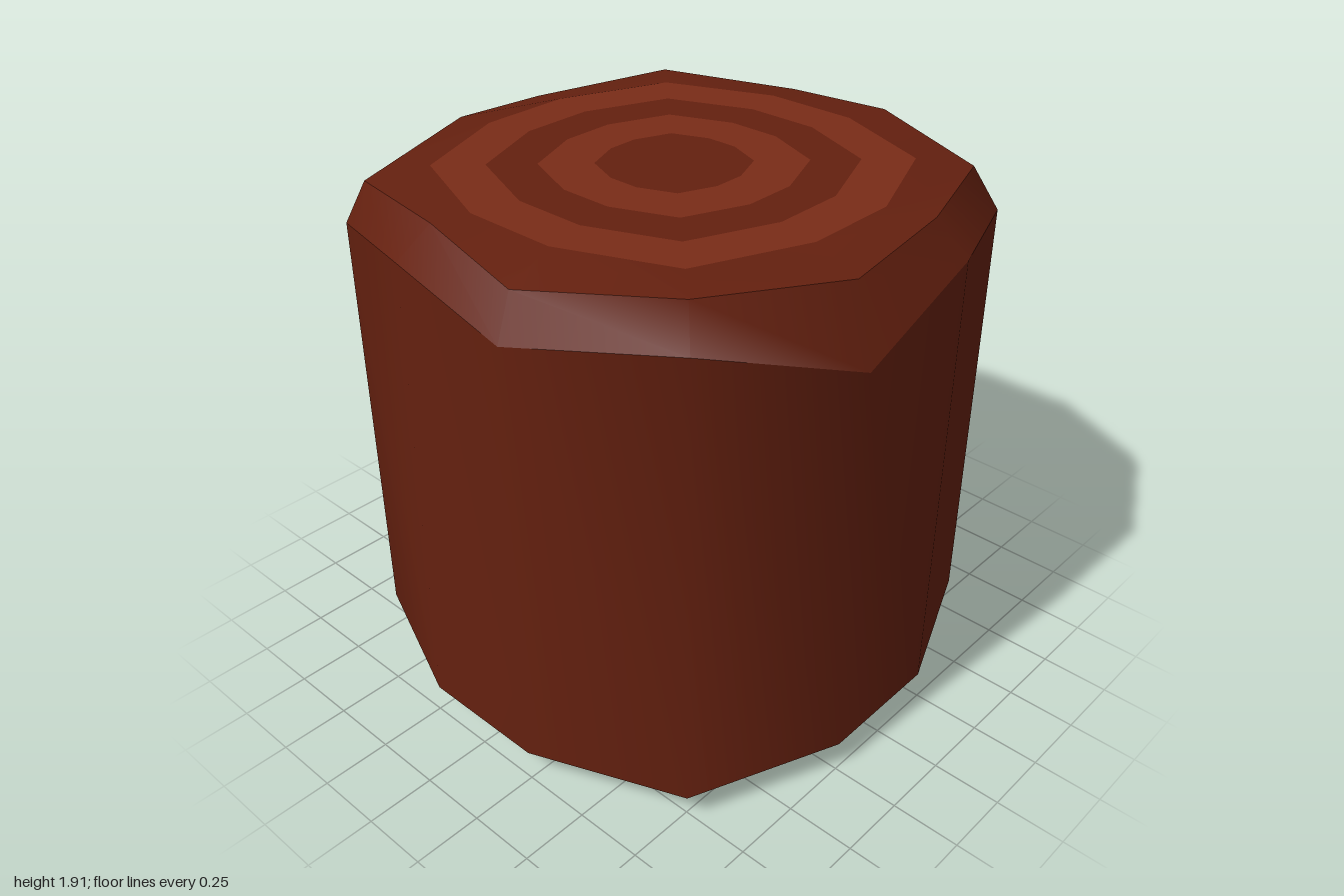
import * as THREE from 'three';

const BARK = 0x64200f, LIGHT = 0x7a2c17;
const TOP = 1.91;

// Twelve-cornered outline, counterclockwise seen from above: [x, z]
const quarter = [[0.24, 1], [0.78, 0.78], [1, 0.24]];
const corners = [];
for (let q = 0; q < 4; q++) {
  for (const [x, z] of quarter) {
    corners.push([[x, z], [z, -x], [-x, -z], [-z, x]][q]);
  }
}

// Worn upper edge, per corner: wall scale, wall height, rim scale, rim height
const wear = [
  [1, 1.71, 0.93, 1.86], [1, 1.79, 0.9, 1.91], [1, 1.6, 0.92, 1.87],
  [1, 1.79, 0.89, 1.91], [1, 1.72, 0.91, 1.88], [1, 1.79, 0.89, 1.91],
  [1, 1.69, 0.91, 1.88], [1, 1.8, 0.87, 1.91], [1, 1.69, 0.9, 1.87],
  [0.98, 1.8, 0.85, 1.91], [1, 1.71, 0.93, 1.86], [0.98, 1.81, 0.86, 1.91],
];

// Ring of points from a scale and a height
const ring = (s, y) => corners.map(([x, z]) => [x * s, y, z * s]);
const wallTop = corners.map(([x, z], i) => [x * wear[i][0], wear[i][1], z * wear[i][0]]);
const rim = corners.map(([x, z], i) => [x * wear[i][2], wear[i][3], z * wear[i][2]]);

// Smooth band between two rings
function band(name, lower, upper, color) {
  const n = lower.length, index = [];
  for (let i = 0; i < n; i++) {
    const j = (i + 1) % n;
    index.push(i, j, n + i, j, n + j, n + i);
  }
  const geo = new THREE.BufferGeometry();
  geo.setAttribute('position', new THREE.Float32BufferAttribute([...lower, ...upper].flat(), 3));
  geo.setIndex(index);
  geo.computeVertexNormals();
  const mesh = new THREE.Mesh(geo, new THREE.MeshStandardMaterial({ color }));
  mesh.name = name;
  return mesh;
}

export function createModel() {
  const log = new THREE.Group();
  log.name = 'log';

  // Bark, lower bevel and worn upper bevel
  const foot = ring(1, 0.11), base = ring(0.89, 0);
  log.add(band('bark', foot, wallTop, BARK));
  log.add(band('lowerBevel', base, foot, BARK));
  log.add(band('upperBevel', wallTop, rim, BARK));

  // Growth rings on both cut ends, alternating dark and light
  const scales = [0.89, 0.73, 0.565, 0.41, 0.24, 0];
  for (let i = 0; i < scales.length - 1; i++) {
    const color = i % 2 ? LIGHT : BARK;
    const outer = i ? ring(scales[i], TOP) : rim;
    log.add(band('topGrowthRing' + (i + 1), outer, ring(scales[i + 1], TOP), color));
    log.add(band('bottomGrowthRing' + (i + 1), ring(scales[i + 1], 0), ring(scales[i], 0), color));
  }
  return log;
}
